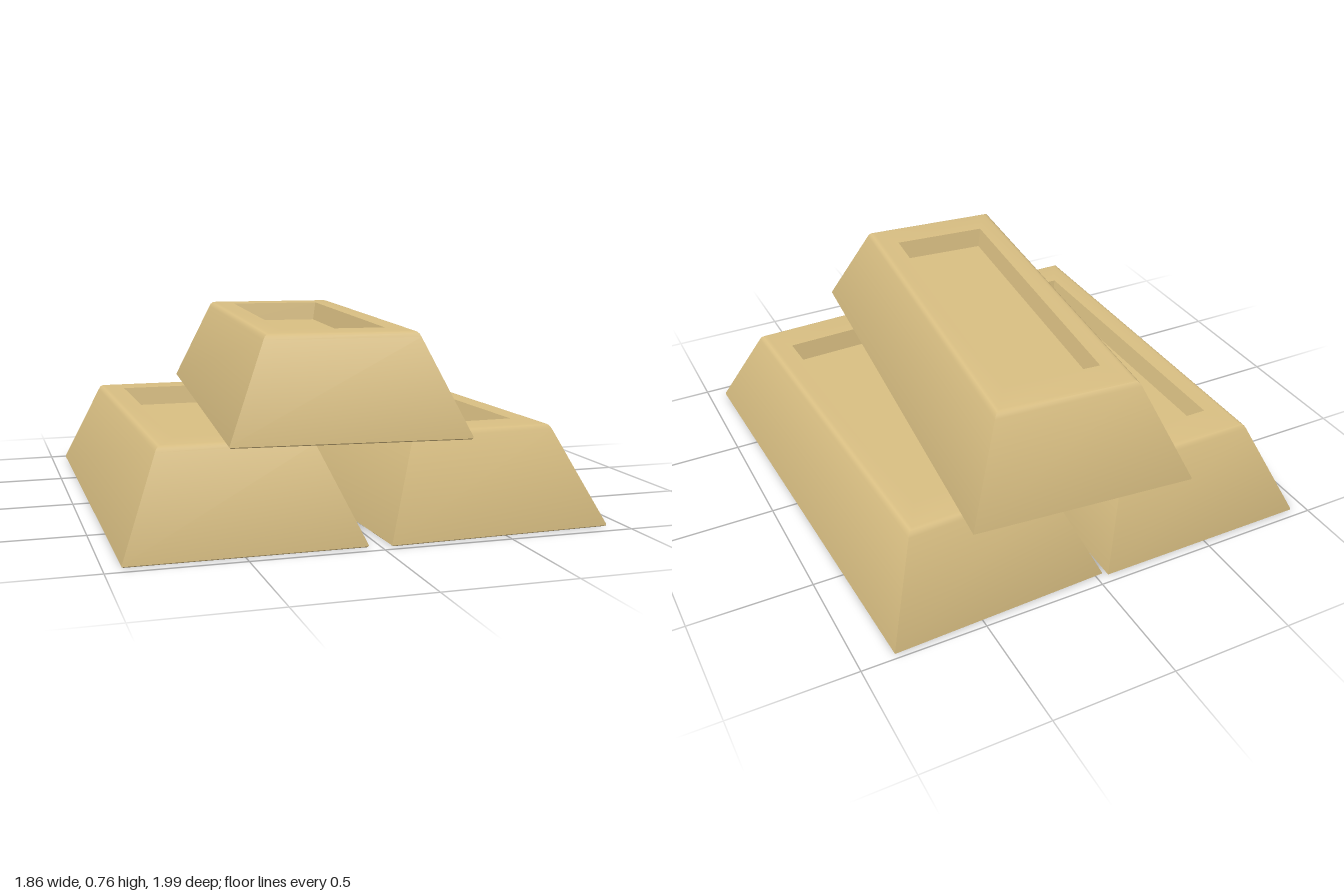
import * as THREE from 'three';
import { toCreasedNormals } from 'three/addons/utils/BufferGeometryUtils.js';

// Skin a stack of rectangles [halfWidth, height, halfLength], capped at both ends
function loftRectangles(rings) {
  const corners = rings.map(([w, y, l]) => [[w, y, l], [w, y, -l], [-w, y, -l], [-w, y, l]]);
  const positions = [];
  const quad = (a, b, c, d) => positions.push(...a, ...b, ...c, ...a, ...c, ...d);
  for (let r = 0; r < corners.length - 1; r++) {
    const a = corners[r], b = corners[r + 1];
    for (let i = 0; i < 4; i++) {
      const j = (i + 1) % 4;
      quad(a[i], a[j], b[j], b[i]);
    }
  }
  const first = corners[0], last = corners[corners.length - 1];
  quad(first[3], first[2], first[1], first[0]);
  quad(...last);
  const geometry = new THREE.BufferGeometry();
  geometry.setAttribute('position', new THREE.Float32BufferAttribute(positions, 3));
  return toCreasedNormals(geometry, 0.5);
}

export function createModel() {
  const model = new THREE.Group();
  model.name = 'ingotStack';
  const gold = new THREE.MeshStandardMaterial({ color: 0xd8be82 });
  gold.name = 'gold';

  // Tapered bar with softened edges and a sunken panel in its top
  const ingot = loftRectangles([
    [0.439, 0, 0.955],
    [0.444, 0.004, 0.96],
    [0.444, 0.01, 0.96],
    [0.295, 0.358, 0.79],
    [0.289, 0.37, 0.783],
    [0.281, 0.377, 0.775],
    [0.268, 0.38, 0.762],
    [0.197, 0.38, 0.632],
    [0.183, 0.3, 0.618],
  ]);

  const bars = [
    ['leftIngot', 0.45, 0, -0.006, 0.0345],
    ['rightIngot', -0.49, 0, -0.006, 0],
    ['topIngot', -0.016, 0.381, -0.005, -0.091],
  ];
  for (const [name, x, y, z, turn] of bars) {
    const bar = new THREE.Mesh(ingot, gold);
    bar.name = name;
    bar.position.set(x, y, z);
    bar.rotation.y = turn;
    model.add(bar);
  }
  return model;
}
